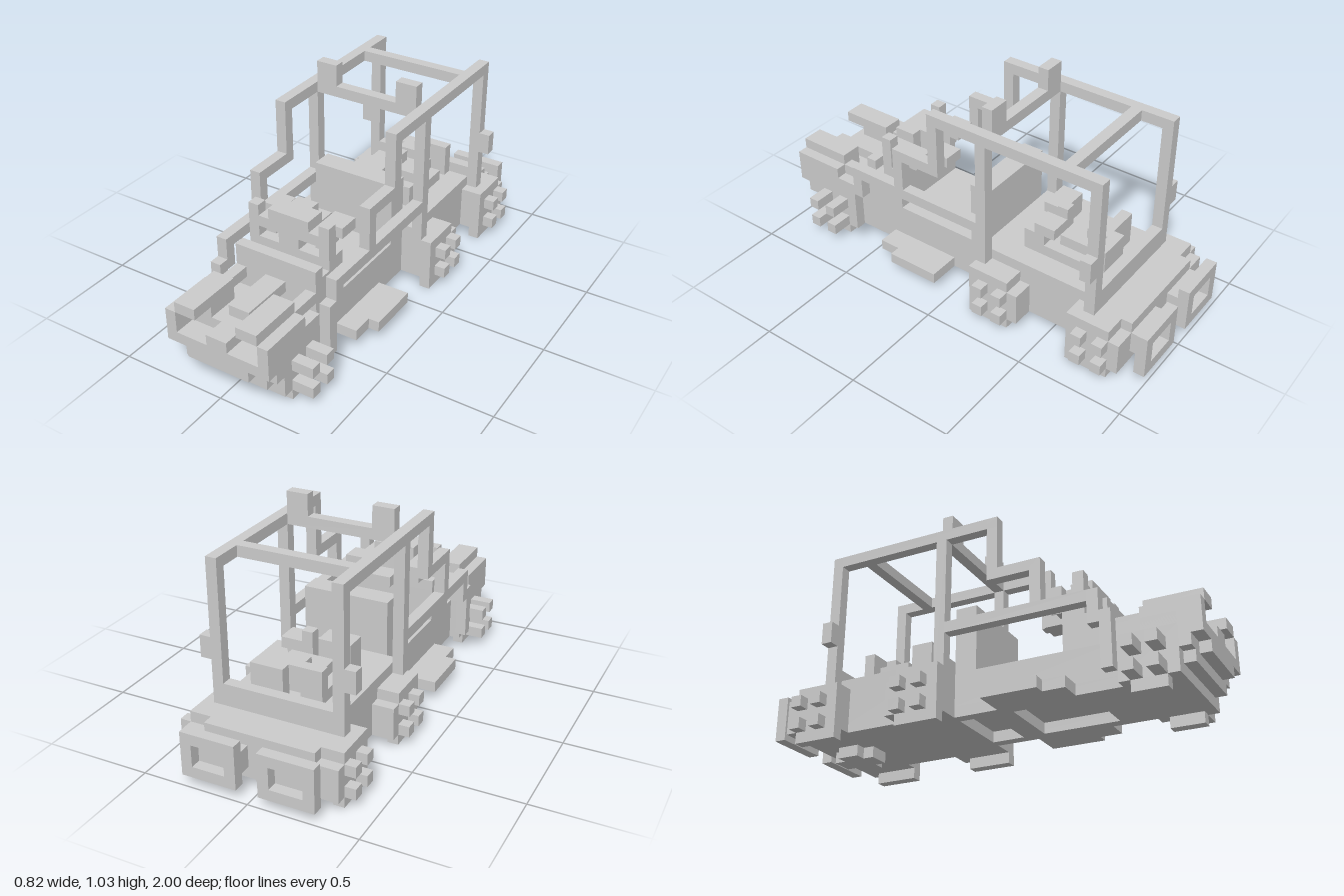
import * as THREE from 'three';

const U = 2 / 39; // one block

export function createModel() {
  const model = new THREE.Group();
  const grey = new THREE.MeshStandardMaterial({ color: 0xcccccc });
  grey.name = 'grey';

  // Box in block units: x, y, and f = distance back from the nose
  function box(name, x0, x1, y0, y1, f0, f1) {
    const m = new THREE.Mesh(new THREE.BoxGeometry((x1 - x0) * U, (y1 - y0) * U, (f1 - f0) * U), grey);
    m.position.set((x0 + x1) / 2 * U, (y0 + y1) / 2 * U, (19.5 - (f0 + f1) / 2) * U);
    m.name = name;
    model.add(m);
  }
  const mid = (name, w, ...r) => box(name, -w, w, ...r);
  function pair(name, x0, x1, ...r) {
    box(name + 'Left', x0, x1, ...r);
    box(name + 'Right', -x1, -x0, ...r);
  }

  // Nose and bumper
  mid('noseBody', 5, 1, 5, 2, 7);
  mid('noseDeck', 5, 5, 6, 2, 7);
  mid('bumper', 5, 4, 5, 0, 2);
  mid('bumperLip', 3, 3, 4, 0, 1);
  mid('bumperUnderside', 5, 3, 4, 1, 2);
  mid('bumperChin', 4, 2, 3, 1, 2);
  mid('winch', 1, 5, 6, 0, 2);
  mid('hoodRidge', 1, 6, 7, 3, 8);
  pair('hoodSide', 3, 4, 6, 7, 5, 8);

  // Headlights: hooded boxes with a recessed lens
  pair('headlightHood', 2, 4, 7, 8, 0, 5);
  pair('headlightFender', 4, 5, 5, 7, 0, 5);
  pair('headlightLens', 2, 4, 5, 7, 2, 5);

  // Cabin tub with a sunken panel underneath, scuttle and seat
  mid('tubFloor', 4, 2, 5, 7, 22);
  pair('tubSill', 3, 4, 1, 2, 7, 22);
  mid('tubFrontBeam', 3, 1, 2, 7, 10);
  mid('tubMiddleBeam', 3, 1, 2, 17, 19);
  mid('scuttle', 4, 5, 8, 8, 12);
  mid('scuttleBar', 4, 8, 9, 8, 9);
  mid('seatBack', 4, 5, 11, 20, 22);

  // Dashboard cluster
  mid('dashBase', 4, 8, 9, 10, 12);
  mid('dashTop', 2, 11, 12, 10, 12);
  mid('dashCore', 1, 9, 12, 10, 13);
  mid('dashColumn', 1, 9, 10, 12, 15);
  pair('dashArm', 1, 3, 10, 11, 10, 12);
  pair('dashPost', 3, 4, 9, 12, 10, 11);
  pair('dashKnob', 2, 4, 10, 11, 12, 14);
  pair('dashFoot', 2, 3, 9, 10, 11, 13);

  // Rear body and engine bay
  mid('rearBody', 5, 1, 6, 22, 34);
  mid('tail', 5, 1, 5, 34, 37);
  mid('rearCrossBeam', 6, 6, 7, 33, 34);
  mid('engineBlock', 3, 6, 7, 25, 31);
  mid('engineFront', 3, 7, 8, 25, 27);
  box('engineCoverRight', -3, 0, 8, 9, 25, 27);
  box('engineCoverLeft', 1, 3, 8, 9, 26, 28);
  box('engineStack', 0, 1, 7, 10, 27, 28);
  mid('engineCore', 2, 7, 8, 28, 31);
  box('enginePipeRight', -3, -1, 6, 9, 31, 32);
  box('enginePipeLeft', 0, 3, 6, 9, 32, 33);
  box('engineCap', -1, 1, 8, 9, 30, 32);

  // Tail lamps: open frames around a recessed lens
  pair('tailLampTop', 1, 6, 4, 5, 38, 39);
  pair('tailLampBottom', 1, 6, 1, 2, 38, 39);
  pair('tailLampInner', 1, 2, 2, 4, 38, 39);
  pair('tailLampOuter', 5, 6, 2, 4, 38, 39);
  pair('tailLampLens', 1, 5, 2, 4, 37, 38);

  // Tube frame
  pair('frameFoot', 5, 6, 2, 7, 7, 8);
  pair('frameStep', 5, 6, 6, 7, 7, 9);
  pair('frameLowerPost', 5, 6, 7, 9, 8, 9);
  pair('doorRail', 5, 6, 8, 9, 8, 22);
  pair('frameMidPost', 5, 6, 9, 13, 13, 14);
  pair('frameLedge', 5, 6, 12, 13, 13, 18);
  pair('windscreenPost', 5, 6, 12, 18, 17, 18);
  pair('roofRail', 5, 6, 17, 18, 17, 34);
  pair('middlePost', 5, 6, 1, 18, 22, 23);
  pair('rearPost', 5, 6, 5, 18, 33, 34);
  mid('middleRoofBar', 5, 17, 18, 22, 23);
  mid('rearRoofBar', 5, 17, 18, 30, 31);
  pair('roofLamp', 3, 5, 17, 20, 22, 23);
  pair('rearLantern', 6, 7, 9, 11, 33, 34);

  // Running boards
  pair('runningBoard', 4, 6, 1, 2, 11, 18);
  pair('runningBoardEdge', 6, 7, 1, 2, 13, 18);

  // Middle and rear wheels, with knobs and tread
  for (const f of [22, 32]) {
    pair('wheel', 5, 7, 1, 4, f, f + 5);
    pair('wheelTop', 5, 7, 4, 5, f, f + 4);
    pair('wheelTread', 6, 7, 0, 1, f, f + 4);
    for (const k of [1, 3]) for (const y of [1, 3]) pair('wheelKnob', 7, 8, y, y + 1, f + k, f + k + 1);
  }
  mid('rearSkid', 1, 0, 1, 32, 36);
  pair('rearSkidSide', 1, 2, 0, 1, 33, 35);

  // Front wheels
  pair('frontWheelTread', 4, 5, 0, 1, 3, 6);
  for (const f of [3, 5]) for (const y of [1, 3]) pair('frontWheelKnob', 5, 7, y, y + 1, f, f + 1);

  return model;
}
